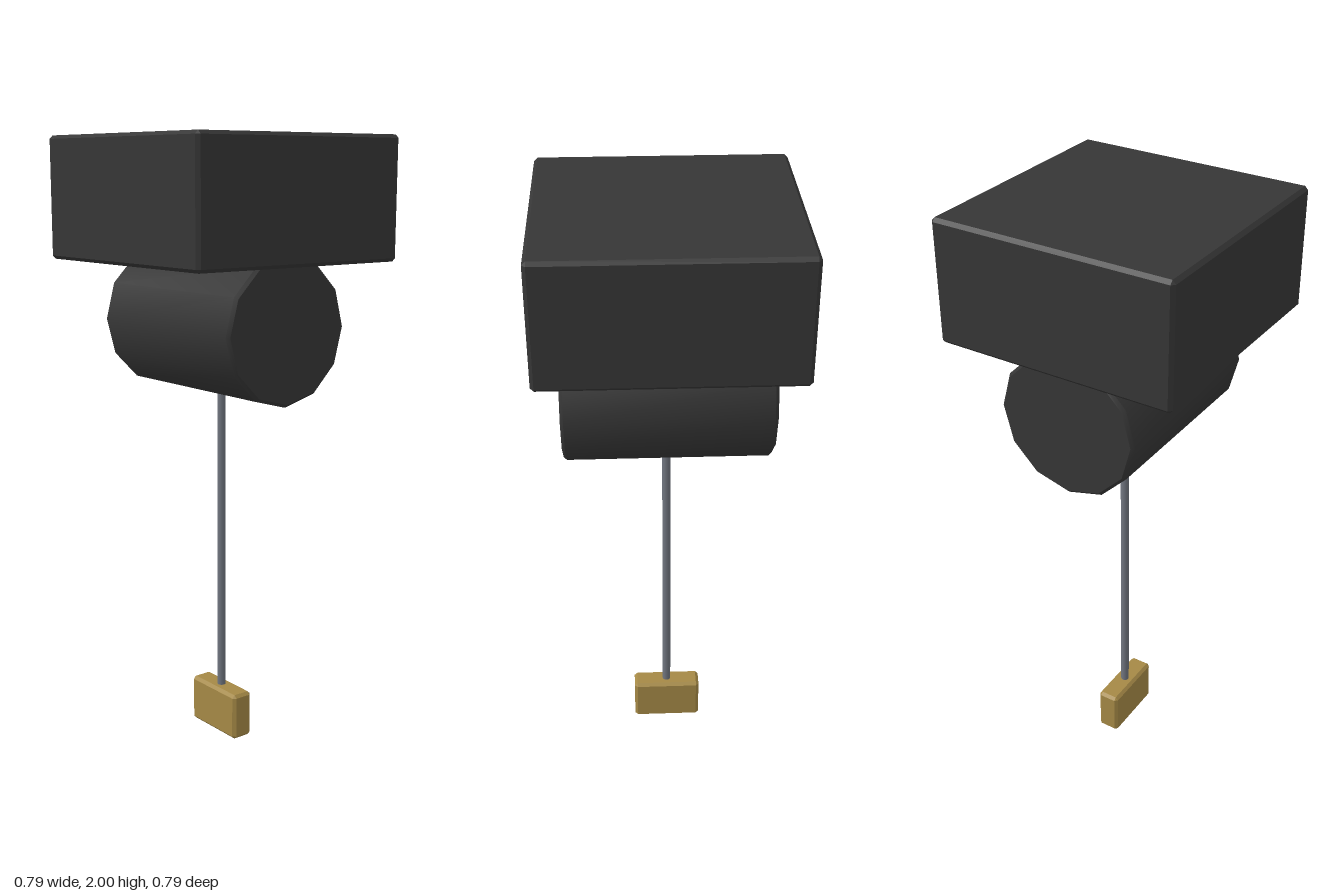
import * as THREE from 'three';
import { toCreasedNormals } from 'three/addons/utils/BufferGeometryUtils.js';
import { ConvexGeometry } from 'three/addons/geometries/ConvexGeometry.js';

// Box with every edge and corner cut by a flat chamfer
function chamferedBox(width, height, depth, chamfer) {
  const half = [width / 2, height / 2, depth / 2];
  const points = [];
  for (const sx of [-1, 1]) for (const sy of [-1, 1]) for (const sz of [-1, 1]) {
    for (let full = 0; full < 3; full++) {
      const [x, y, z] = half.map((h, axis) => (axis === full ? h : h - chamfer));
      points.push(new THREE.Vector3(sx * x, sy * y, sz * z));
    }
  }
  return new ConvexGeometry(points);
}

// Twelve-sided drum along x: smooth side, chamfered rims, flat ends
function chamferedDrum(radius, length, chamfer) {
  const h = length / 2;
  const profile = [
    [0, -h], [radius - chamfer, -h], [radius, -h + chamfer],
    [radius, h - chamfer], [radius - chamfer, h], [0, h],
  ].map(([r, y]) => new THREE.Vector2(r, y));
  const drum = new THREE.LatheGeometry(profile, 12).rotateZ(Math.PI / 2);
  return toCreasedNormals(drum, 0.6);
}

export function createModel() {
  const model = new THREE.Group();
  const black = new THREE.MeshStandardMaterial({ name: 'black', color: 0x363636 });
  const steel = new THREE.MeshStandardMaterial({ name: 'steel', color: 0x70757f });
  const brass = new THREE.MeshStandardMaterial({ name: 'brass', color: 0xa58946 });

  const add = (name, geometry, material, y) => {
    const mesh = new THREE.Mesh(geometry, material);
    mesh.name = name;
    mesh.position.y = y;
    model.add(mesh);
  };

  // Ceiling housing with the drum set into its underside
  add('housing', chamferedBox(0.79, 0.39, 0.79, 0.011), black, 1.805);
  add('drum', chamferedDrum(0.235, 0.654, 0.01), black, 1.41);

  // Hanging rod, sunk into the drum and the pull
  add('rod', new THREE.CylinderGeometry(0.014, 0.014, 1.14, 12, 1), steel, 0.67);

  // Pull block at the bottom
  add('pullBlock', chamferedBox(0.234, 0.158, 0.076, 0.01), brass, 0.079);

  return model;
}
